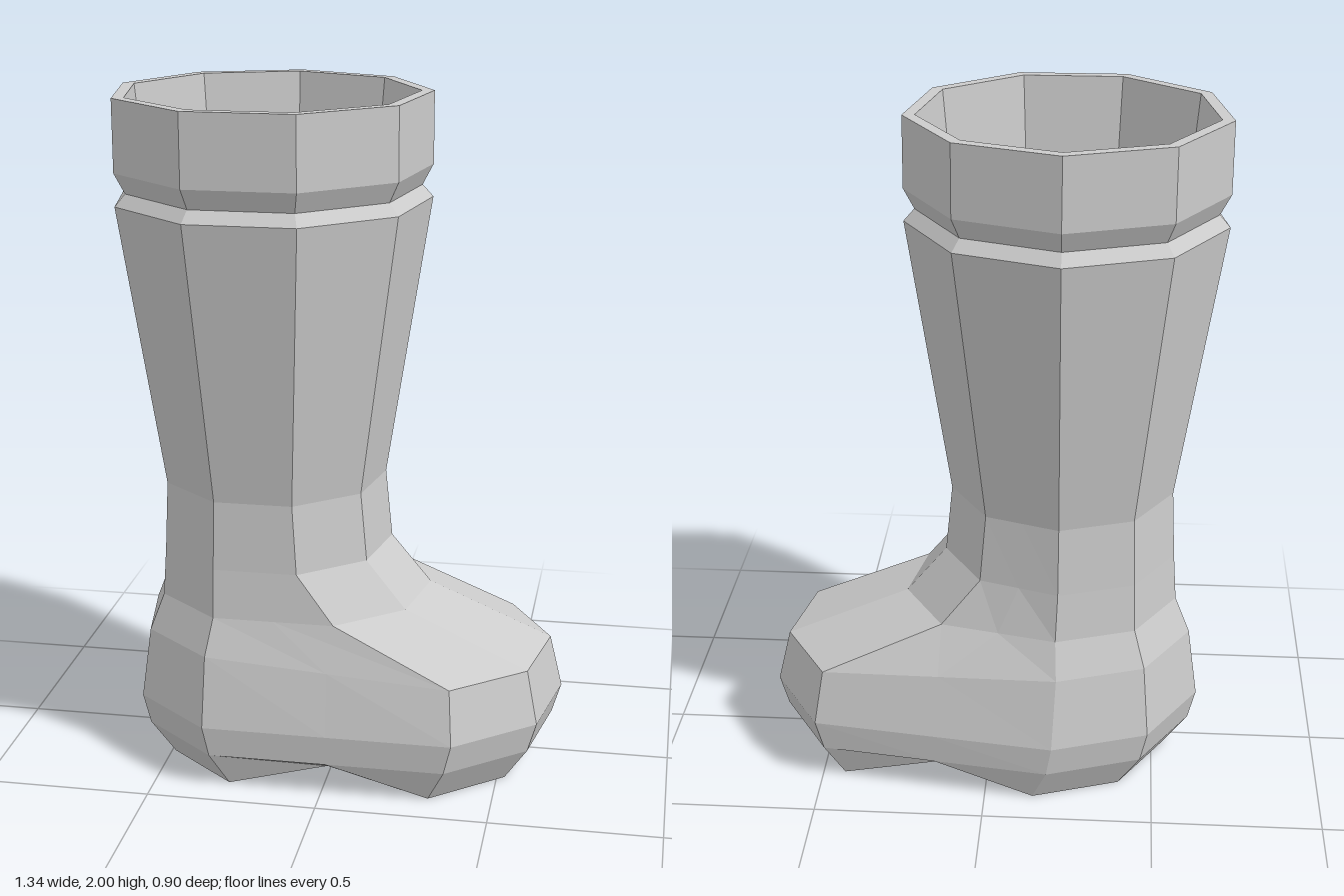
import * as THREE from 'three';

const SIDES = 9;
const CZ = 0.012;
const material = new THREE.MeshStandardMaterial({ color: 0xcccccc, flatShading: true });

// Nine-sided ring; the toe-side corners (1-4) are pushed forward by `toe`.
// A midpoint is added on both flanks so the sole can be arched there.
function ring({ y, r, cx = -0.21, toe = 0, yToe = y, arch = 0 }) {
  const corners = [];
  for (let k = 0; k < SIDES; k++) {
    const a = (k * Math.PI * 2) / SIDES;
    const front = k >= 1 && k <= 4;
    corners.push(new THREE.Vector3(
      cx + r * Math.sin(a) + (front ? toe : 0),
      front ? yToe : y,
      CZ - r * Math.cos(a)
    ));
  }
  const mid = (a, b) => {
    const m = corners[a].clone().lerp(corners[b], 0.5);
    m.y += arch;
    return m;
  };
  corners.splice(5, 0, mid(4, 5));
  corners.splice(1, 0, mid(0, 1));
  return corners;
}

function toMesh(name, points) {
  const geometry = new THREE.BufferGeometry().setFromPoints(points);
  geometry.computeVertexNormals();
  const mesh = new THREE.Mesh(geometry, material);
  mesh.name = name;
  return mesh;
}

// Fan of triangles over a list of corners
function fan(points) {
  const out = [];
  for (let i = 1; i < points.length - 1; i++) out.push(points[0], points[i], points[i + 1]);
  return out;
}

// Skin between successive rings
function loft(specs) {
  const rings = specs.map(ring);
  const out = [];
  for (let i = 0; i < rings.length - 1; i++) {
    const low = rings[i], high = rings[i + 1], n = low.length;
    for (let k = 0; k < n; k++) {
      const j = (k + 1) % n;
      out.push(...fan([low[k], high[k], high[j], low[j]]));
    }
  }
  return out;
}

export function createModel() {
  const group = new THREE.Group();
  group.name = 'boot';

  const soleRing = { y: 0, r: 0.397, cx: -0.144, toe: 0.323, arch: 0.08 };
  const ankle = { y: 0.86, r: 0.335 };
  const shaftTop = { y: 1.73, r: 0.435 };
  const rim = { y: 2, r: 0.4665 };
  const floor = { y: 0.86, r: 0.312 };

  // Foot, from the sole edge up to the ankle
  group.add(toMesh('foot', loft([
    soleRing,
    { y: 0.1, r: 0.432, cx: -0.185, toe: 0.4 },
    { y: 0.19, r: 0.44, cx: -0.2, toe: 0.434 },
    { y: 0.4, r: 0.4, toe: 0.446, yToe: 0.35 },
    { y: 0.51, r: 0.36, cx: -0.205, toe: 0.11 },
    { y: 0.655, r: 0.345, toe: 0.01 },
    ankle
  ])));

  // Sole: flat heel and toe pads with a raised arch between them
  const s = ring(soleRing);
  const pads = [[7, 8, 9, 10, 0], [6, 7, 0, 1], [1, 2, 5, 6], [2, 3, 4, 5]];
  group.add(toMesh('sole', pads.flatMap((ids) => fan(ids.map((i) => s[i])))));

  // Flared shaft, ending in the groove below the cuff
  group.add(toMesh('shaft', loft([ankle, { y: 1.695, r: 0.4665 }, shaftTop])));

  // Cuff with its flat rim
  group.add(toMesh('cuff', loft([
    shaftTop, { y: 1.79, r: 0.4665 }, rim, { y: 2, r: 0.43 }
  ])));

  // Hollow interior and its floor
  group.add(toMesh('lining', loft([{ y: 2, r: 0.43 }, floor])));
  const f = ring(floor);
  const order = f.map((_, i) => f[(3 - i + f.length) % f.length]);
  group.add(toMesh('innerFloor', fan(order)));

  return group;
}
